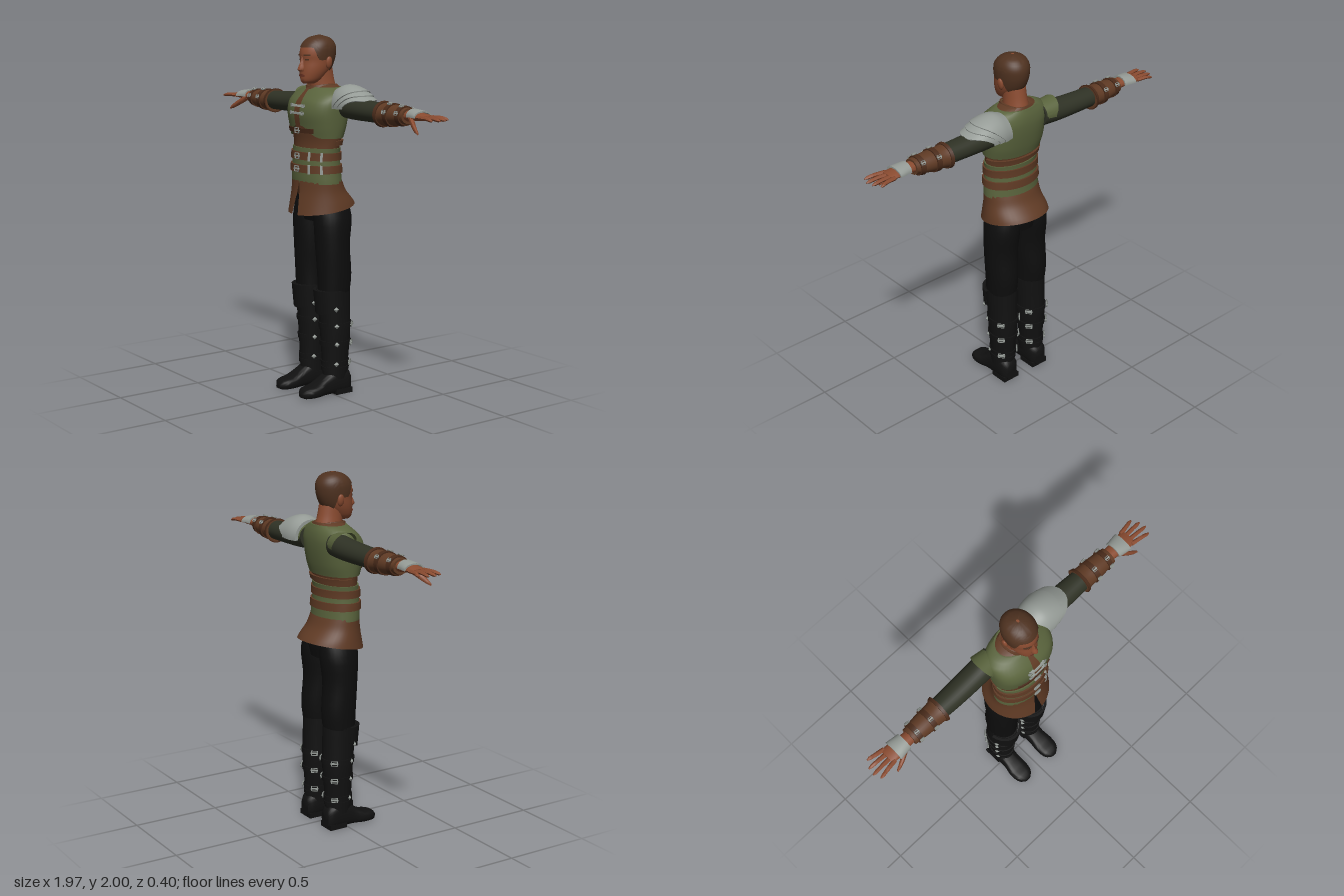
import * as THREE from 'three';
import { toCreasedNormals } from 'three/addons/utils/BufferGeometryUtils.js';

const PI = Math.PI, FRONT = PI / 2;
const mat = (name, color) => Object.assign(new THREE.MeshStandardMaterial({ color, side: THREE.DoubleSide }), { name });
const skin = mat('skin', 0x8a4b30), lip = mat('lips', 0x6b3424), hair = mat('hair', 0x4f3220);
const green = mat('vest green', 0x59633c), sleeveMat = mat('dark sleeve', 0x2f3225);
const leather = mat('brown leather', 0x5f3a24), strapMat = mat('dark strap', 0x4a2b1a);
const cloth = mat('black cloth', 0x0d0d0d), boot = mat('black leather', 0x111111), metal = mat('pale metal', 0x959b96);

const fn = v => (typeof v === 'function' ? v : () => v);
const { lerp, smoothstep } = THREE.MathUtils;

// Upright cross-section: height, front z, back z, half width, centre x, squareness
const Y = (y, zf, zb, rx, cx = 0, n = 2) => [y, (zf + zb) / 2, cx, (zf - zb) / 2, rx, n];

// Point on a surface given by sections [t, cu, cv, ru, rv, squareness] along an axis
function at(secs, axis, t, a, off = 0, k = 1) {
  let i = 0;
  while (i < secs.length - 2 && t > secs[i + 1][0]) i++;
  const A = secs[i], B = secs[i + 1], P = secs[i - 1] || A, Q = secs[i + 2] || B;
  const h = B[0] - A[0], u = THREE.MathUtils.clamp((t - A[0]) / h, 0, 1), u2 = u * u, u3 = u2 * u;
  const c = j => {
    const m0 = (B[j] - P[j]) / (B[0] - P[0]) * h, m1 = (Q[j] - A[j]) / (Q[0] - A[0]) * h;
    return (2 * u3 - 3 * u2 + 1) * A[j] + (u3 - 2 * u2 + u) * m0 + (3 * u2 - 2 * u3) * B[j] + (u3 - u2) * m1;
  };
  const n = lerp(A[5] || 2, B[5] || 2, u);
  const e = v => Math.sign(v) * Math.abs(v) ** (2 / n);
  const p = [0, 0, 0];
  p[axis] = t;
  p[(axis + 1) % 3] = c(1) + k * (c(3) + off) * e(Math.sin(a));
  p[(axis + 2) % 3] = c(2) + k * (c(4) + off) * e(Math.cos(a));
  return p;
}

// Whole body or partial panel following such a surface
function shell(secs, axis, o = {}) {
  const { off = 0, tuck = 0, cap = false, seg = 28, rows = 12 } = o;
  const t0 = fn(o.t0 ?? secs[0][0]), t1 = fn(o.t1 ?? secs.at(-1)[0]), a0 = fn(o.a0 ?? 0), a1 = fn(o.a1 ?? 2 * PI);
  const list = [];
  for (let i = 0; i <= rows; i++) list.push([i / rows, off, 1]);
  if (tuck) { list.unshift([0, off - tuck, 1]); list.push([1, off - tuck, 1]); }
  if (cap) { list.unshift([0, off, 0]); list.push([1, off, 0]); }
  const pos = [], idx = [];
  list.forEach(([r, d, k], i) => {
    for (let j = 0; j <= seg; j++) {
      const a = lerp(a0(r), a1(r), j / seg);
      pos.push(...at(secs, axis, lerp(t0(a), t1(a), r), a, d, k));
      if (i < list.length - 1 && j < seg) {
        const p = i * (seg + 1) + j, q = p + seg + 1;
        idx.push(p, q, p + 1, q, q + 1, p + 1);
      }
    }
  });
  const g = new THREE.BufferGeometry();
  g.setAttribute('position', new THREE.Float32BufferAttribute(pos, 3));
  g.setIndex(idx);
  return toCreasedNormals(g, 0.8);
}

// Copy across x = 0 with corner order restored
function mirrored(geo) {
  const g = geo.index ? geo.toNonIndexed() : geo.clone();
  for (const name of ['position', 'normal']) {
    const b = g.attributes[name];
    for (let i = 0; i < b.count; i += 3) {
      const v = [0, 2, 1].map(k => [-b.getX(i + k), b.getY(i + k), b.getZ(i + k)]);
      v.forEach((w, k) => b.setXYZ(i + k, ...w));
    }
  }
  return g;
}

export function createModel() {
  const root = new THREE.Group();
  root.name = 'armouredMan';
  const add = (name, geo, m) => {
    const mesh = new THREE.Mesh(geo, m);
    mesh.name = name;
    root.add(mesh);
  };
  const pair = (name, geo, m) => { add(name + 'Left', geo, m); add(name + 'Right', mirrored(geo), m); };

  // Buckle frame and prong laid on a surface
  const buckle = (put, name, secs, axis, t, a, w, h, off = 0.02) => {
    const frame = new THREE.TorusGeometry(0.7, 0.13, 4, 4).rotateZ(PI / 4).scale(w, h, 0.03);
    const prong = new THREE.BoxGeometry(w * 1.3, 0.007, 0.008);
    for (const g of [frame, prong]) {
      if (axis === 1) g.rotateY(PI / 2 - a); else g.rotateX(-a);
      g.translate(...at(secs, axis, t, a, off));
      put(name, g, metal);
    }
  };

  // Torso with vest, bands and belts
  const torso = [Y(1.12, .1, -.11, .155), Y(1.18, .122, -.1, .165), Y(1.26, .125, -.093, .16), Y(1.35, .12, -.085, .156),
    Y(1.42, .115, -.092, .165), Y(1.5, .125, -.11, .176, 0, 2.3), Y(1.58, .135, -.122, .183, 0, 2.4), Y(1.64, .12, -.125, .185, 0, 2.4),
    Y(1.685, .085, -.12, .175), Y(1.71, .06, -.112, .13), Y(1.73, .045, -.105, .08)];
  add('torso', shell(torso, 1, { cap: true, rows: 24 }), leather);
  const vestEdge = a => 1.445 + (Math.sin(a) > 0 ? 0.07 * Math.sin(a) ** 8 : 0);
  add('vestChest', shell(torso, 1, { t0: vestEdge, t1: 1.718, off: .009, tuck: .009, rows: 18, seg: 40 }), green);
  add('vestWaist', shell(torso, 1, { t0: 1.195, t1: 1.39, off: .007, tuck: .007 }), green);
  for (const y of [1.275, 1.345])  {
    add('waistBelt', shell(torso, 1, { t0: y - .021, t1: y + .021, off: .016, tuck: .016, rows: 2, seg: 36 }), leather);
    buckle(add, 'waistBuckle', torso, 1, y, FRONT, .034, .03, .026);
    for (const a of [1.07, .6])
      add('beltTip', shell(torso, 1, { t0: y - .025, t1: y + .025, a0: a - .05, a1: a + .05, off: .022, tuck: .01, rows: 2, seg: 4 }), metal);
  }
  add('backBand', shell(torso, 1, { t0: 1.405, t1: 1.432, a0: PI, a1: 2 * PI, off: .014, tuck: .014, rows: 2 }), leather);
  add('chestStrap', shell(torso, 1, { t0: 1.472, t1: 1.498, a0: FRONT - .6, a1: FRONT + .6, off: .016, tuck: .016, rows: 2 }), strapMat);
  buckle(add, 'chestBuckle', torso, 1, 1.485, FRONT, .034, .028, .024);
  add('placket', shell(torso, 1, { t0: 1.5, t1: 1.715, a0: FRONT - .08, a1: FRONT + .08, off: .014, tuck: .01, seg: 4 }), leather);
  for (const y of [1.58, 1.62]) {
    add('claspBar', shell(torso, 1, { t0: y - .006, t1: y + .006, a0: FRONT - .2, a1: FRONT + .2, off: .02, tuck: .012, rows: 2, seg: 8 }), metal);
    for (const s of [-1, 1]) buckle(add, 'clasp', torso, 1, y, FRONT + s * .2, .016, .018, .017);
  }
  const collar = [Y(1.695, .075, -.112, .092), Y(1.72, .066, -.105, .078), Y(1.74, .064, -.1, .07)];
  add('collar', shell(collar, 1, { t1: a => 1.725 + .01 * Math.cos(a) ** 2, off: .003, tuck: .01, rows: 5 }), leather);

  // Flared skirt with a front slit
  const skirt = [Y(1.0, .168, -.225, .2), Y(1.08, .152, -.195, .188), Y(1.15, .138, -.135, .174), Y(1.21, .131, -.104, .17)];
  const slit = r => .015 + .12 * (1 - r);
  add('skirt', shell(skirt, 1, { t0: a => 1.05 - .03 * Math.sin(a), a0: r => FRONT + slit(r), a1: r => FRONT + 2 * PI - slit(r), seg: 40 }), leather);
  add('hips', shell([Y(.98, .07, -.12, .15), Y(1.06, .095, -.13, .165), Y(1.17, .1, -.1, .155)], 1, { cap: true }), cloth);

  // Neck, head and face
  add('neck', shell([Y(1.66, .03, -.1, .08), Y(1.71, .048, -.104, .066), Y(1.76, .055, -.092, .06), Y(1.82, .06, -.08, .058)], 1, { cap: true }), skin);
  const head = [Y(1.737, .1, .03, .026), Y(1.75, .112, -.005, .045), Y(1.785, .115, -.04, .064), Y(1.82, .114, -.068, .075), Y(1.86, .11, -.086, .081),
    Y(1.895, .113, -.094, .085), Y(1.935, .103, -.094, .084), Y(1.967, .079, -.078, .07), Y(1.988, .046, -.05, .045), Y(1.998, .008, -.01, .007)];
  add('head', shell(head, 1, { cap: true, rows: 26, seg: 32 }), skin);
  const hairline = a => {
    const s = Math.sin(a);
    return s > 0 ? 1.865 + .068 * smoothstep(s, .35, .75) : 1.865 - .065 * smoothstep(-s, .15, .75);
  };
  add('hair', shell(head, 1, { t0: hairline, off: .004, tuck: .004, rows: 16, seg: 48 }), hair);
  add('nose', shell([Y(1.803, .128, .08, .014), Y(1.815, .139, .08, .019), Y(1.85, .124, .08, .012), Y(1.888, .113, .08, .009)], 1, { cap: true, seg: 12, rows: 8 }), skin);
  add('lips', shell(head, 1, { t0: 1.775, t1: a => 1.79 - .04 * (a - FRONT) ** 2, a0: FRONT - .4, a1: FRONT + .4, off: .004, tuck: .004, rows: 3, seg: 10 }), lip);
  pair('eye', shell(head, 1, { t0: 1.864, t1: 1.872, a0: 1.0, a1: 1.3, off: .002, rows: 2, seg: 6 }), hair);
  pair('brow', shell(head, 1, { t0: 1.888, t1: 1.896, a0: .9, a1: 1.38, off: .004, tuck: .004, rows: 2, seg: 8 }), hair);
  pair('ear', new THREE.SphereGeometry(1, 12, 10).scale(.012, .034, .02).rotateZ(-.15).translate(.088, 1.852, -.005), skin);

  // Sleeves and shoulder caps
  pair('sleeve', shell([[.13, 1.625, -.06, .066, .066], [.25, 1.613, -.058, .061, .067], [.4, 1.607, -.056, .056, .064], [.53, 1.605, -.055, .054, .058]], 0, { cap: true }), sleeveMat);
  pair('shoulderCap', shell([[.14, 1.63, -.055, .062, .07], [.19, 1.628, -.057, .07, .076], [.235, 1.625, -.058, .079, .082]], 0, { a0: -.2, a1: PI + .2, rows: 5, t1: a => .2 + .035 * Math.max(0, Math.sin(a)) }), green);

  // Layered pauldron on the left shoulder
  const pauldron = [[.13, 1.62, -.06, .086, .085], [.2, 1.622, -.06, .105, .1], [.29, 1.62, -.06, .09, .104], [.39, 1.61, -.06, .05, .1]];
  for (let i = 0; i < 3; i++)
    add('pauldronPlate', shell(pauldron, 0, { t0: .135, t1: a => .265 + .12 * Math.max(0, Math.sin(a)) - .035 * i, a0: -.1, a1: PI + .1, off: .006 * i, tuck: .006 }), metal);

  // Bracers with straps and buckles
  const bracer = [[.505, 1.602, -.056, .064, .072], [.54, 1.602, -.055, .058, .064], [.62, 1.604, -.053, .054, .061], [.72, 1.608, -.05, .041, .05]];
  pair('bracer', shell(bracer, 0, { cap: true }), leather);
  pair('bracerRim', shell(bracer, 0, { t0: .505, t1: .522, off: .006, tuck: .006, rows: 2 }), strapMat);
  for (const x of [.59, .685]) {
    pair('bracerStrap', shell(bracer, 0, { t0: x - .014, t1: x + .014, off: .007, tuck: .007, rows: 2 }), strapMat);
    for (const a of [.3, 1.2, 2.5]) buckle(pair, 'bracerBuckle', bracer, 0, x, a, .021, .02, .011);
  }

  // Hands
  const palm = [[.7, 1.608, -.05, .03, .036], [.77, 1.613, -.05, .025, .04], [.83, 1.612, -.05, .019, .048], [.875, 1.61, -.05, .013, .046]];
  pair('palm', shell(palm, 0, { cap: true, seg: 18 }), skin);
  pair('handPlate', shell(palm, 0, { t0: .755, t1: .83, a0: -.1, a1: PI + .1, off: .012, tuck: .008, rows: 4, seg: 14 }), metal);
  [.955, .98, .987, .97].forEach((tip, i) => {
    const z = -.091 + i * .027, fan = (i - 1.5) * .012;
    pair('finger', shell([[.855, 1.611, z, .011, .013], [.92, 1.612, z + fan * .6, .01, .011], [tip - .008, 1.606, z + fan, .008, .009], [tip, 1.605, z + fan, .003, .004]], 0, { cap: true, seg: 8, rows: 7 }), skin);
  });
  pair('thumb', shell([[.755, 1.607, -.03, .018, .018], [.8, 1.58, -.008, .018, .016], [.84, 1.555, .01, .015, .012], [.875, 1.535, .02, .006, .006]], 0, { cap: true, seg: 8, rows: 8 }), skin);

  // Trousers, boot shafts and knee guards
  pair('trouserLeg', shell([Y(.55, .065, -.115, .08, .105), Y(.68, .07, -.13, .086, .106), Y(.85, .08, -.118, .093, .102), Y(1.0, .088, -.135, .094, .098), Y(1.1, .08, -.12, .08, .086)], 1, { cap: true }), cloth);
  const shaft = [Y(.09, .04, -.11, .06, .108), Y(.2, .044, -.114, .066, .107), Y(.35, .052, -.125, .078, .106), Y(.47, .062, -.124, .08, .105), Y(.6, .075, -.122, .084, .104)];
  pair('bootShaft', shell(shaft, 1, { cap: true }), boot);
  pair('bootCuff', shell(shaft, 1, { t0: .138, t1: .16, off: .006, tuck: .006, rows: 2 }), boot);
  pair('kneeGuard', shell(shaft, 1, { t0: a => .52 - .055 * Math.sin(a), t1: .6, a0: .15, a1: PI - .15, off: .018, tuck: .016 }), boot);
  for (const y of [.18, .295, .4]) {
    pair('bootStrap', shell(shaft, 1, { t0: y - .014, t1: y + .014, off: .006, tuck: .006, rows: 2 }), boot);
    for (const a of [-.7, PI + .7]) buckle(pair, 'bootBuckle', shaft, 1, y, a, .033, .026, .012);
  }
  for (const y of [.18, .295, .4, .5])
    for (const a of [.45, PI - .45])
      pair('bootStud', new THREE.OctahedronGeometry(.015).scale(1, 1, .6).rotateY(PI / 2 - a).translate(...at(shaft, 1, y, a, y > .45 ? .02 : .008)), metal);

  // Shoes
  pair('shoe', shell([[-.122, .11, .055, .035, .05, 3], [-.1, .11, .068, .053, .067, 3], [-.02, .11, .074, .056, .072, 3], [.05, .11, .055, .053, .053, 3],
    [.11, .113, .037, .06, .036, 3], [.165, .113, .031, .054, .03, 3], [.195, .113, .026, .035, .022, 3], [.203, .113, .022, .018, .012, 3]], 2, { cap: true, rows: 18 }), boot);
  pair('heel', new THREE.BoxGeometry(.106, .03, .11).translate(.11, .015, -.062), boot);
  return root;
}
